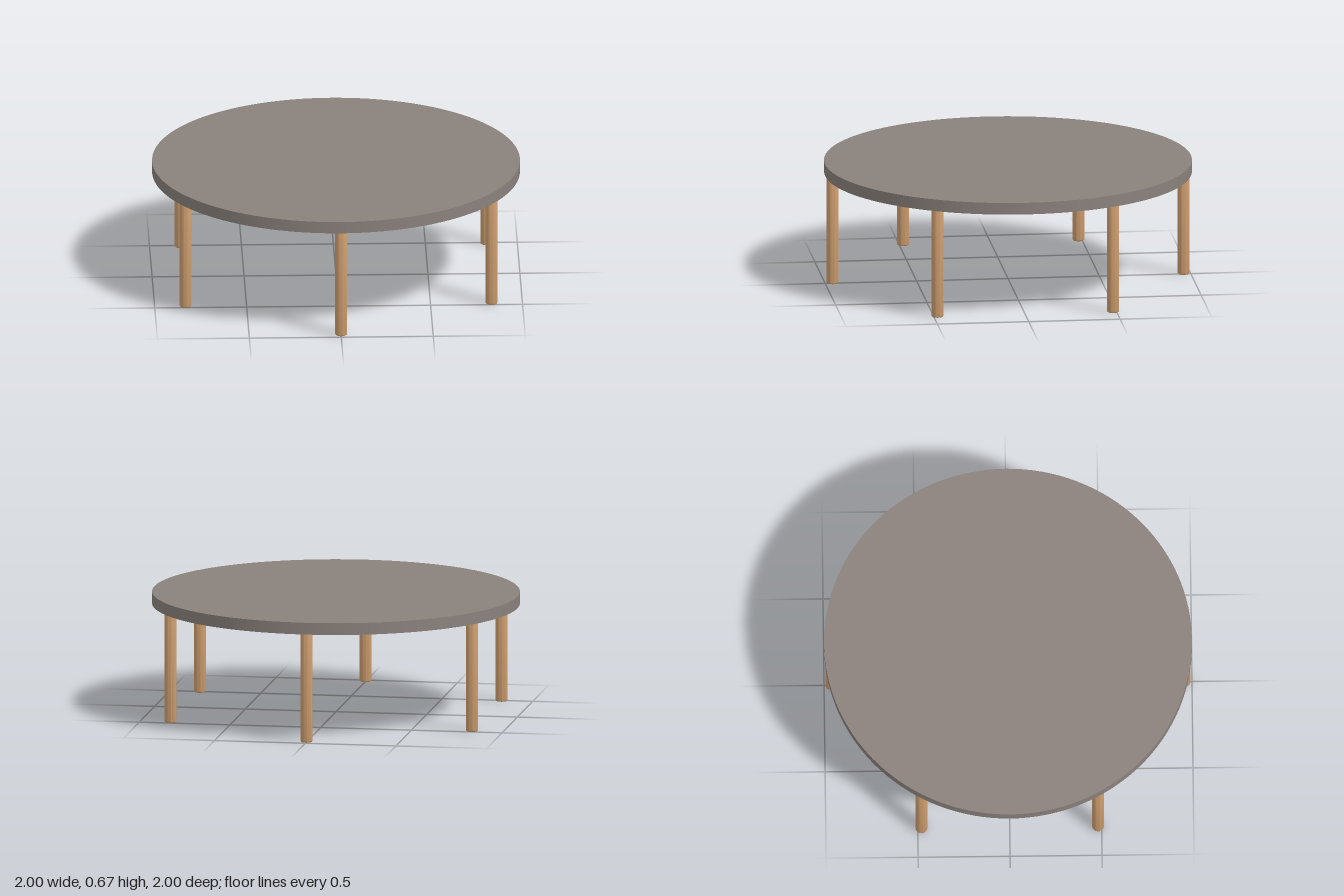
import * as THREE from 'three';
import { toCreasedNormals } from 'three/addons/utils/BufferGeometryUtils.js';

const TOP_Y = 0.665, UNDER_Y = 0.6, LEG_R = 0.033, LEG_RING = 0.96;

export function createModel() {
  const table = new THREE.Group();
  table.name = 'roundTable';
  const topMaterial = new THREE.MeshStandardMaterial({ color: 0x8a817c });
  const legMaterial = new THREE.MeshStandardMaterial({ color: 0xd4a373 });

  // Round slab
  const top = new THREE.Mesh(new THREE.CylinderGeometry(1, 1, TOP_Y - UNDER_Y, 128), topMaterial);
  top.name = 'tableTop';
  top.position.y = (TOP_Y + UNDER_Y) / 2;
  table.add(top);

  // Leg profile: flat foot with a small rounded edge, straight up into the slab
  const bevel = 0.01;
  const profile = [new THREE.Vector2(0, 0)];
  for (let i = 0; i <= 4; i++) {
    const a = (i / 4) * Math.PI / 2;
    profile.push(new THREE.Vector2(LEG_R - bevel + bevel * Math.sin(a), bevel - bevel * Math.cos(a)));
  }
  profile.push(new THREE.Vector2(LEG_R, UNDER_Y + 0.005));
  const legGeometry = toCreasedNormals(new THREE.LatheGeometry(profile, 32), 0.6);

  // Six legs evenly spaced around the rim
  const legs = new THREE.Group();
  legs.name = 'legs';
  for (let i = 0; i < 6; i++) {
    const a = (i / 6) * Math.PI * 2;
    const leg = new THREE.Mesh(legGeometry, legMaterial);
    leg.name = `leg${i + 1}`;
    leg.position.set(LEG_RING * Math.sin(a), 0, LEG_RING * Math.cos(a));
    legs.add(leg);
  }
  table.add(legs);
  return table;
}
